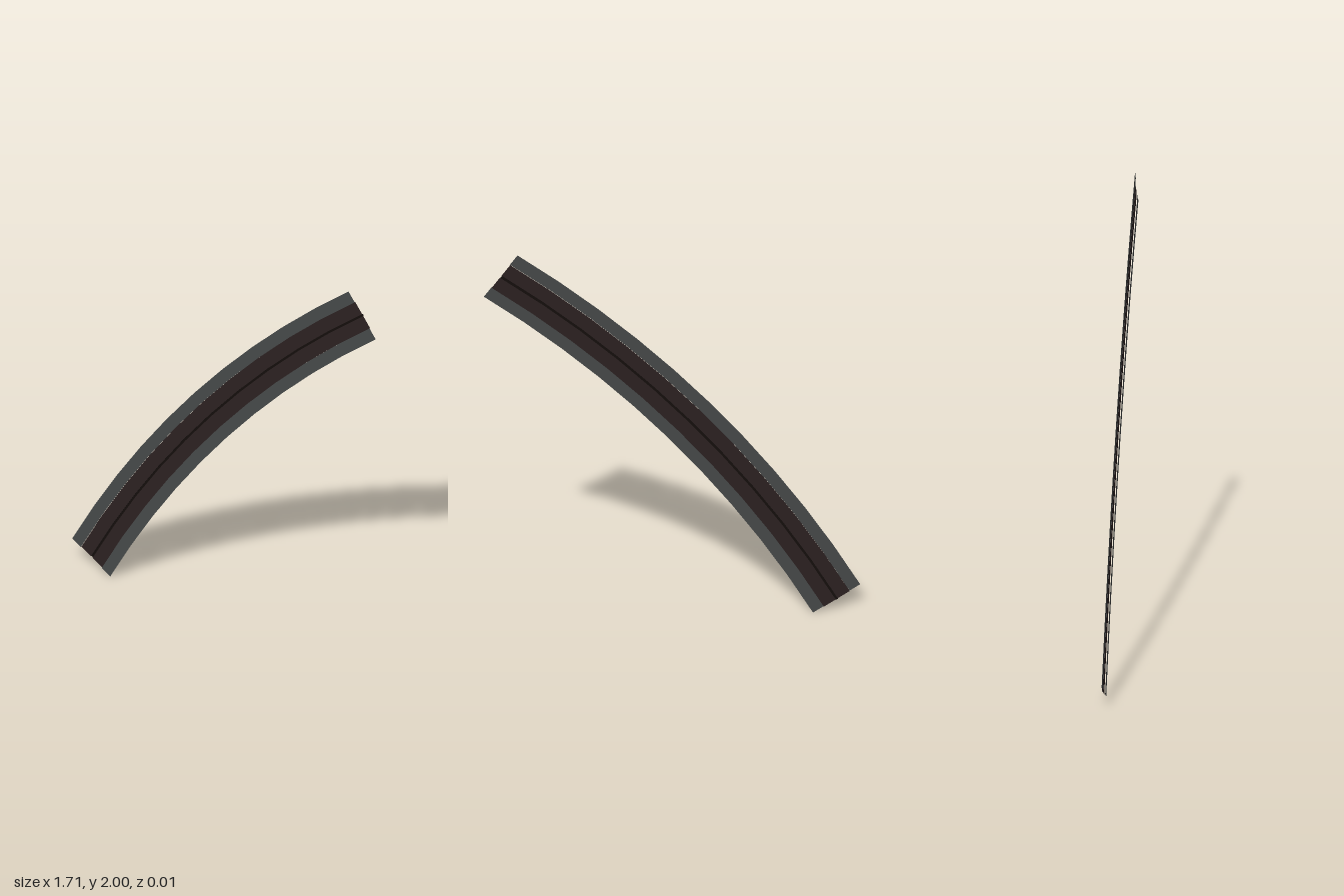
import * as THREE from 'three';

// Curved slot-track section: an arc standing in the xy plane
const CENTRE = [4.603, -2.828];
const RADIUS = 6.085;
const START = THREE.MathUtils.degToRad(128.95);
const SWEEP = THREE.MathUtils.degToRad(22.7);
const SEGMENTS = 10;

export function createModel() {
  const group = new THREE.Group();
  const material = (name, color) => {
    const m = new THREE.MeshStandardMaterial({ color, side: THREE.DoubleSide });
    m.name = name;
    return m;
  };
  const grey = material('shoulder grey', 0x484b4b);
  const brown = material('track dark brown', 0x2d2222);
  const black = material('slot black', 0x150f0d);

  const add = (name, geometry, mat) => {
    geometry.translate(CENTRE[0], CENTRE[1], 0);
    const mesh = new THREE.Mesh(geometry, mat);
    mesh.name = name;
    group.add(mesh);
  };

  // Flat band between two offsets from the centre line
  const band = (name, from, to, z, mat) => {
    const g = new THREE.RingGeometry(RADIUS + from, RADIUS + to, SEGMENTS, 1, START, SWEEP);
    add(name, g.translate(0, 0, z), mat);
  };

  // Thin wall following the curve, from z0 to z1
  const wall = (name, offset, z0, z1, start, sweep, segments) => {
    const r = RADIUS + offset;
    const g = new THREE.CylinderGeometry(r, r, z1 - z0, segments, 1, true, start + Math.PI / 2, sweep);
    add(name, g.rotateX(Math.PI / 2).translate(0, 0, (z0 + z1) / 2), black);
  };

  // Shoulders and running surfaces on both sides of the slot
  band('outerShoulder', 0.067, 0.122, 0.004, grey);
  band('innerShoulder', -0.122, -0.067, 0.004, grey);
  band('outerRunningStrip', 0.005, 0.067, 0, brown);
  band('innerRunningStrip', -0.067, -0.005, 0, brown);

  // Recessed centre slot, deeper along its last segment
  band('slotFloor', -0.005, 0.005, -0.004, black);
  const step = SWEEP / SEGMENTS;
  for (const side of [-1, 1]) {
    wall('slotWall', side * 0.005, -0.004, 0, START, SWEEP, SEGMENTS);
    wall('slotEndWall', side * 0.005, -0.007, -0.004, START, step, 1);
  }
  return group;
}
